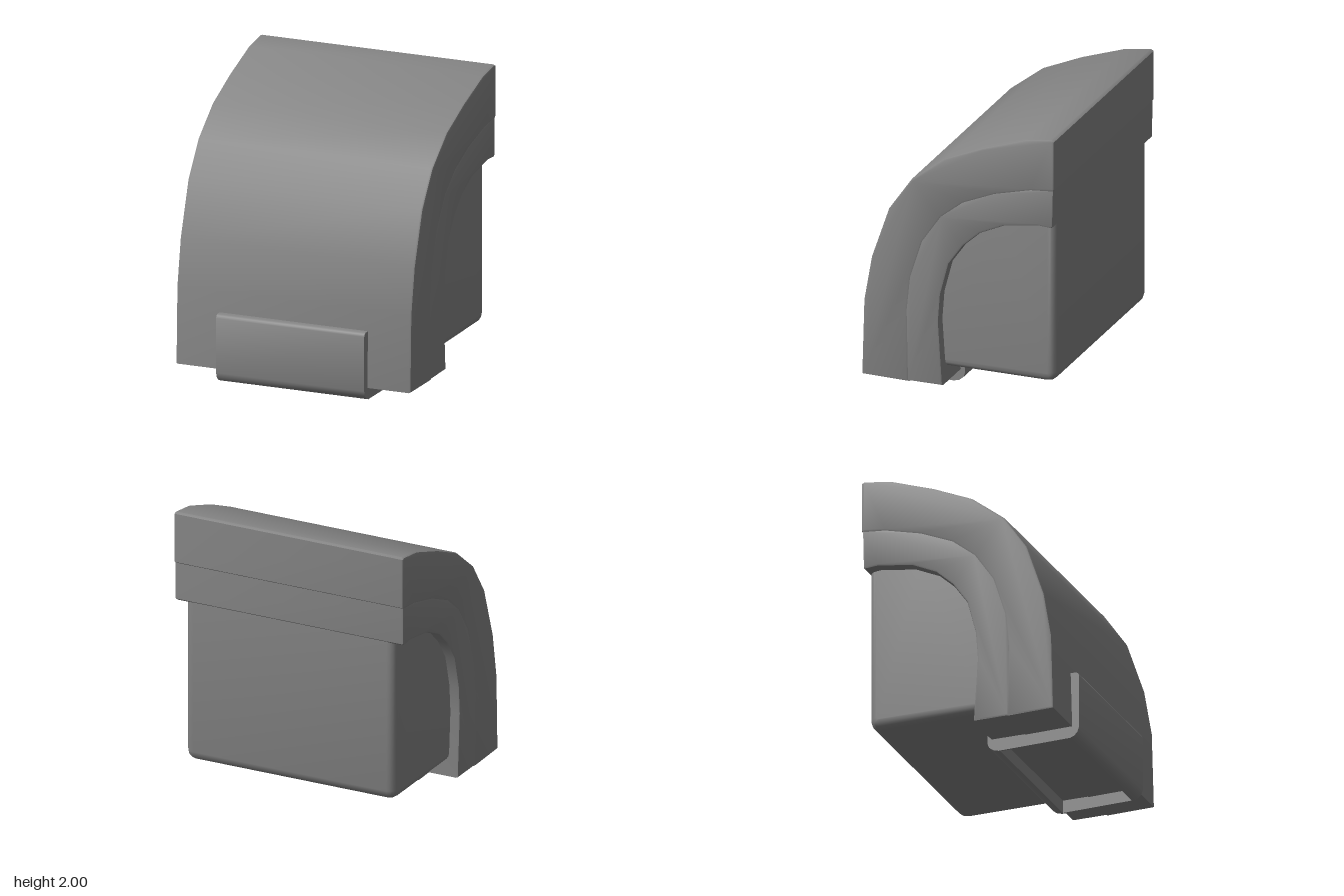
import * as THREE from 'three';
import { toCreasedNormals } from 'three/addons/utils/BufferGeometryUtils.js';

const material = new THREE.MeshStandardMaterial({ color: 0x858585 });

// Side profile of [z, y] points, swept across x and centred at x = cx
function slab(name, points, width, bevel, cx = 0, segments = 2) {
  const shape = new THREE.Shape(points.map(([z, y]) => new THREE.Vector2(z, y)));
  const geo = new THREE.ExtrudeGeometry(shape, {
    depth: width - 2 * bevel,
    bevelEnabled: bevel > 0,
    bevelThickness: bevel,
    bevelSize: bevel,
    bevelOffset: -bevel,
    bevelSegments: segments,
  });
  geo.translate(0, 0, -(width - 2 * bevel) / 2);
  geo.rotateY(-Math.PI / 2);
  geo.translate(cx, 0, 0);
  const mesh = new THREE.Mesh(toCreasedNormals(geo, 0.65), material);
  mesh.name = name;
  return mesh;
}

export function createModel() {
  const model = new THREE.Group();
  model.name = 'curvedArmorPlate';

  // Arcs from bottom front to top back; the inner layer tucks slightly into the outer one
  const outerArc = [[0.675, 0.083], [0.66, 0.62], [0.605, 0.94], [0.48, 1.31], [0.315, 1.55],
    [0.08, 1.735], [-0.2, 1.86], [-0.51, 1.97], [-0.7, 2], [-0.72, 1.99]];
  const seamArc = [[0.335, 0.083], [0.345, 0.6], [0.32, 0.84], [0.235, 1.11], [0.1, 1.31],
    [-0.06, 1.44], [-0.29, 1.54], [-0.55, 1.61], [-0.705, 1.625], [-0.72, 1.64]];
  const tuckedArc = [[0.35, 0.087], [0.36, 0.6], [0.335, 0.845], [0.248, 1.12], [0.11, 1.322],
    [-0.053, 1.453], [-0.285, 1.555], [-0.547, 1.625], [-0.714, 1.642]];
  const innerArc = [[0.09, 0.092], [0.12, 0.55], [0.105, 0.75], [0.045, 0.98], [-0.06, 1.13],
    [-0.18, 1.24], [-0.35, 1.32], [-0.6, 1.363], [-0.695, 1.358], [-0.708, 1.37]];

  // Two nested curved layers
  model.add(slab('outerShell', [...outerArc, ...seamArc.reverse()], 1.72, 0.015));
  model.add(slab('innerShell', [...tuckedArc, ...innerArc.reverse()], 1.715, 0.015));

  // Soft-edged block filling the inside of the curve
  model.add(slab('core', [[0.2, 0.195], [0.23, 0.75], [0.16, 1.06], [-0.02, 1.28], [-0.3, 1.42],
    [-0.6, 1.5], [-0.7, 1.5], [-0.7, 0.275], [-0.688, 0.237], [-0.66, 0.213], [-0.62, 0.207]],
  1.57, 0.06, 0, 4));

  // Clip around the lower edge: front plate, back plate and thin end walls, open below
  const clip = new THREE.Group();
  clip.name = 'lowerClip';
  clip.add(slab('clipFront', [[0.66, 0], [0.69, 0.012], [0.713, 0.035], [0.725, 0.07],
    [0.725, 0.45], [0.718, 0.466], [0.704, 0.475], [0.65, 0.475], [0.65, 0]], 1.084, 0));
  clip.add(slab('clipBack', [[0.14, 0], [0.15, 0], [0.15, 0.28], [0.06, 0.28], [0.06, 0.065],
    [0.072, 0.035], [0.1, 0.012]], 1.084, 0));
  const endProfile = [[0.65, 0], [0.65, 0.4], [0.15, 0.4], [0.15, 0]];
  for (const side of [-1, 1]) clip.add(slab('clipEnd', endProfile, 0.012, 0, side * 0.536));
  model.add(clip);

  return model;
}
